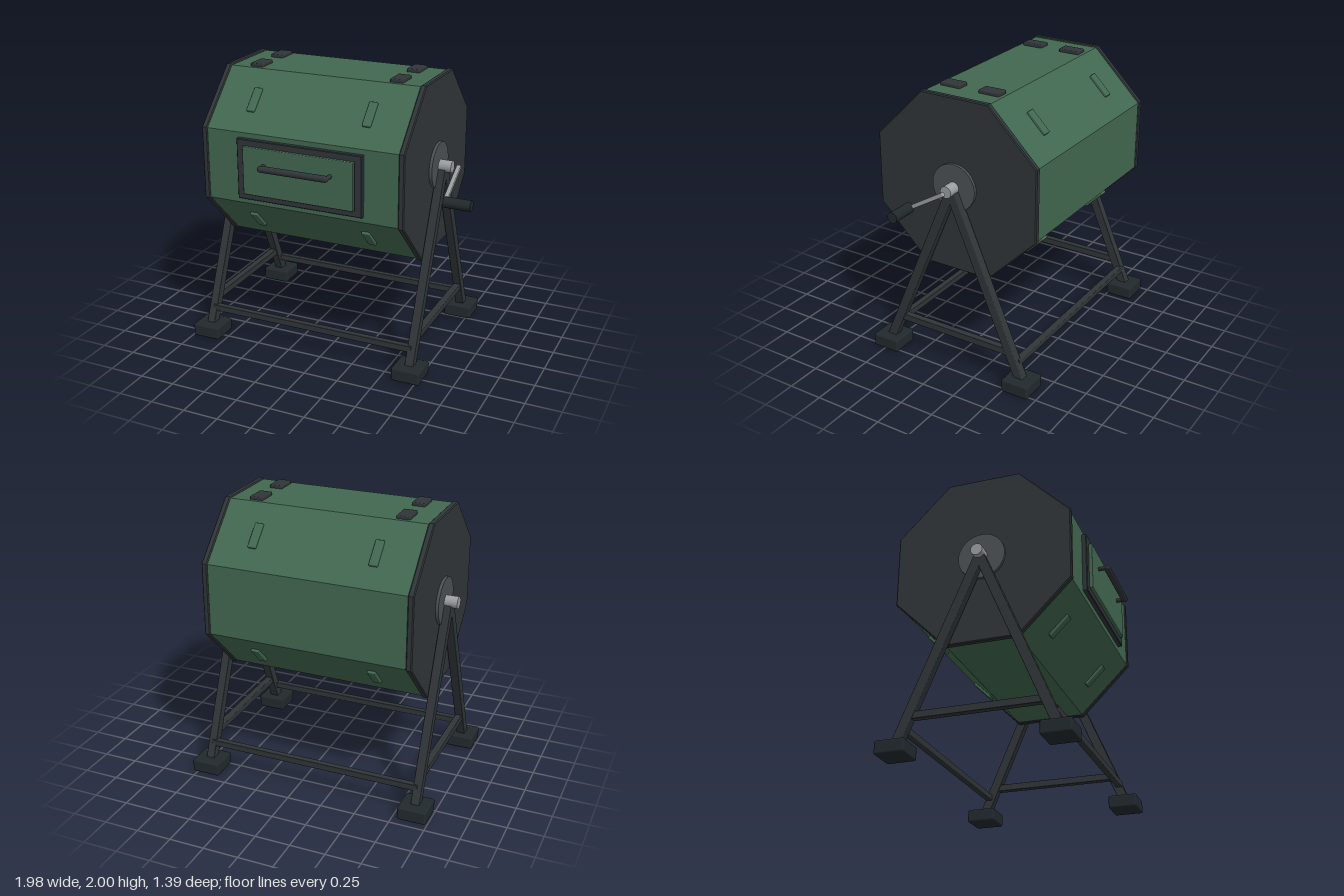
import * as THREE from 'three';
import { RoundedBoxGeometry } from 'three/addons/geometries/RoundedBoxGeometry.js';

const CX = -0.103, CY = 1.367, CZ = -0.053; // drum centre

const mat = (color, flatShading = false) => new THREE.MeshStandardMaterial({ color, flatShading });

export function createModel() {
  const model = new THREE.Group();
  model.name = 'tumblingComposter';
  const green = mat(0x426850), greenFlat = mat(0x426850, true);
  const dark = mat(0x303538), darkFlat = mat(0x303538, true);
  const rubber = mat(0x22292d), hubGrey = mat(0x4c5154), metal = mat(0x9a9ea0);

  const add = (name, geometry, material, x, y, z, parent = model) => {
    const mesh = new THREE.Mesh(geometry, material);
    mesh.name = name;
    mesh.position.set(x, y, z);
    parent.add(mesh);
    return mesh;
  };
  const box = (w, h, d, r = 0.008) => new RoundedBoxGeometry(w, h, d, 2, r);
  const rodX = (r, length, sides = 24) => new THREE.CylinderGeometry(r, r, length, sides).rotateZ(Math.PI / 2);

  // Octagonal prism along x with bevelled ends, flats facing up and forward
  const octagon = (apothem, length, bevel) => {
    const r = apothem / Math.cos(Math.PI / 8);
    const corners = Array.from({ length: 8 }, (_, i) => {
      const a = (i + 0.5) * Math.PI / 4;
      return new THREE.Vector2(r * Math.cos(a), r * Math.sin(a));
    });
    return new THREE.ExtrudeGeometry(new THREE.Shape(corners), {
      depth: length - 2 * bevel, bevelEnabled: true, bevelThickness: bevel,
      bevelSize: bevel, bevelOffset: -bevel, bevelSegments: 1,
    }).translate(0, 0, bevel - length / 2).rotateY(Math.PI / 2);
  };

  // Straight bar of square section between two points in a plane of constant x
  const barYZ = (name, x, y0, z0, y1, z1, w, t, material) => {
    const dy = y1 - y0, dz = z1 - z0;
    const bar = add(name, box(w, Math.hypot(dy, dz), t, 0.006), material, x, (y0 + y1) / 2, (z0 + z1) / 2);
    bar.rotation.x = Math.atan2(dz, dy);
    return bar;
  };

  // Drum
  add('drum', octagon(0.61, 1.44, 0.005), greenFlat, CX, CY, CZ);
  for (const sx of [-1, 1]) {
    add('endPlate', octagon(0.618, 0.042, 0.007), darkFlat, CX + sx * 0.726, CY, CZ);
    add('hubDisc', rodX(0.165, 0.025, 40), hubGrey, CX + sx * 0.755, CY, CZ);
    add('axle', rodX(0.042, 0.12), metal, CX + sx * 0.798, CY, CZ);

    // Hinges on the top face
    for (const sz of [-1, 1])
      add('topHinge', box(0.095, 0.04, 0.155), dark, CX + sx * 0.525, 1.98, CZ + sz * 0.15);

    // Ribs on the four sloping faces
    for (let i = 0; i < 4; i++) {
      const a = Math.PI / 4 + i * Math.PI / 2;
      const rib = add('rib', box(0.06, 0.036, 0.185), green,
        CX + sx * 0.428, CY + 0.612 * Math.cos(a), CZ + 0.612 * Math.sin(a));
      rib.rotation.x = a;
    }
  }

  // Door: frame with an opening, raised panel and handle
  const rect = (P, w, h) => {
    const p = new P();
    p.moveTo(-w / 2, -h / 2).lineTo(w / 2, -h / 2).lineTo(w / 2, h / 2).lineTo(-w / 2, h / 2).closePath();
    return p;
  };
  const door = new THREE.Group();
  door.name = 'door';
  door.position.set(CX, 1.37, 0);
  model.add(door);
  const frameShape = rect(THREE.Shape, 0.915, 0.42);
  frameShape.holes.push(rect(THREE.Path, 0.82, 0.34));
  add('doorFrame', new THREE.ExtrudeGeometry(frameShape, {
    depth: 0.03, bevelThickness: 0.005, bevelSize: 0.005, bevelSegments: 1,
  }), darkFlat, 0, 0, 0.555, door);
  add('doorPanel', box(0.815, 0.34, 0.065, 0.006), green, 0, 0, 0.581, door);
  add('doorHandle', new THREE.CapsuleGeometry(0.023, 0.475, 6, 16).rotateZ(Math.PI / 2), dark, 0, 0.053, 0.673, door);
  for (const sx of [-1, 1])
    add('handlePost', new THREE.CylinderGeometry(0.015, 0.015, 0.075, 16).rotateX(Math.PI / 2), dark,
      sx * 0.245, 0.053, 0.637, door);

  // A-frame stand
  for (const sx of [-1, 1]) {
    const x = CX + sx * 0.785;
    for (const sz of [-1, 1]) {
      barYZ('leg', x, 0.06, CZ + sz * 0.547, 1.35, CZ, 0.062, 0.068, dark);
      add('foot', box(0.205, 0.095, 0.205, 0.014), rubber, x, 0.0485, CZ + sz * 0.543);
    }
    add('sideBrace', box(0.05, 0.05, 0.93, 0.005), dark, x, 0.267, CZ);
  }
  for (const sz of [-1, 1])
    add('longBrace', box(1.57, 0.046, 0.046, 0.005), dark, CX, 0.198, CZ + sz * 0.505);

  // Crank
  barYZ('crankArm', 0.796, CY + 0.008, CZ - 0.013, 1.208, 0.213, 0.03, 0.03, metal);
  add('crankGrip', rodX(0.038, 0.19), rubber, 0.89, 1.21, 0.213);

  return model;
}
